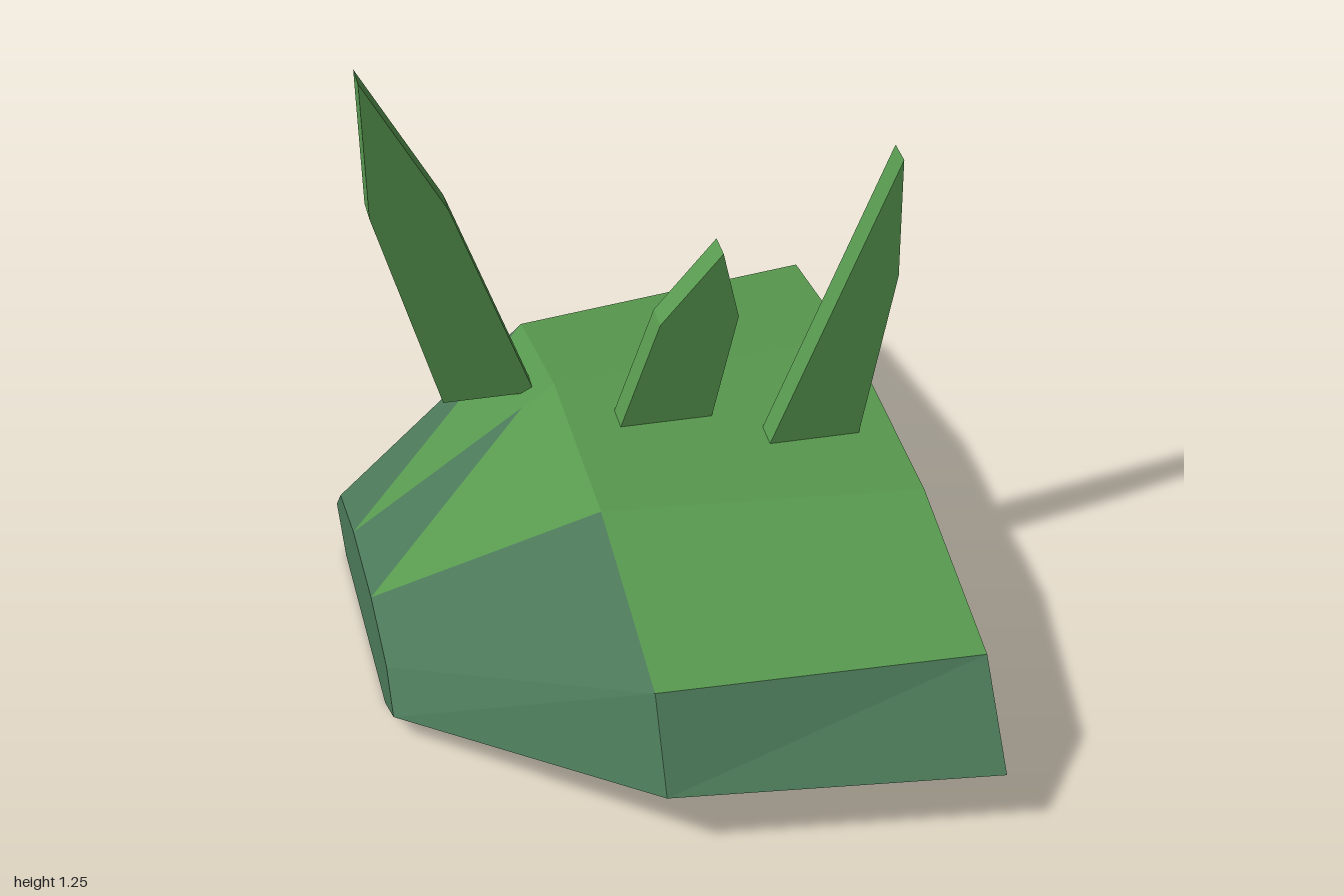
import * as THREE from 'three';

const leaf = new THREE.MeshStandardMaterial({ color: 0x58994f });
leaf.name = 'leaf green';
const stone = new THREE.MeshStandardMaterial({ color: 0x4b7858 });
stone.name = 'mossy teal';

// Flat-shaded mesh of convex polygons, each wound to face away from the body centre
function facets(name, polygons, material) {
  const center = new THREE.Vector3(0.1, 0.15, 0);
  const out = [];
  for (const poly of polygons) {
    const p = poly.map((v) => new THREE.Vector3(...v));
    for (let i = 1; i < p.length - 1; i++) {
      const [a, b, c] = [p[0], p[i], p[i + 1]];
      const n = b.clone().sub(a).cross(c.clone().sub(a));
      const tri = n.dot(a.clone().sub(center)) > 0 ? [a, b, c] : [a, c, b];
      tri.forEach((v) => out.push(v.x, v.y, v.z));
    }
  }
  const g = new THREE.BufferGeometry();
  g.setAttribute('position', new THREE.Float32BufferAttribute(out, 3));
  g.computeVertexNormals();
  const mesh = new THREE.Mesh(g, material);
  mesh.name = name;
  return mesh;
}

// Flat blade cut from an outline and given thickness
function blade(name, outline, z) {
  const shape = new THREE.Shape(outline.map(([x, y]) => new THREE.Vector2(x, y)));
  const g = new THREE.ExtrudeGeometry(shape, { depth: 0.07, bevelEnabled: false });
  g.translate(0, 0, z);
  const mesh = new THREE.Mesh(g, leaf);
  mesh.name = name;
  return mesh;
}

// Cross-section at x, from front bottom over the top to back bottom
function section(x, ys, zs) {
  return zs.map((z, i) => [x, ys[i < 4 ? i : 7 - i], z]);
}

export function createModel() {
  const group = new THREE.Group();
  group.name = 'plantedRock';

  const high = [0, 0.142, 0.333, 0.425];
  const tip = section(-0.62, [0, 0.06, 0.14, 0.18], [0.29, 0.42, 0.34, 0.13, -0.13, -0.34, -0.42, -0.29]);
  const mid = section(-0.11, high, [0.64, 0.92, 0.8, 0.25, -0.28, -0.695, -0.9, -0.64]);
  const end = section(0.62, high, [0.68, 1, 0.82, 0.32, -0.32, -0.82, -1, -0.68]);
  const quad = (a, b, i) => [a[i], b[i], b[(i + 1) % 8], a[(i + 1) % 8]];

  const teal = [];
  const green = [];

  // Sides, underside and sloping front panel
  for (const i of [0, 1, 5, 6, 7]) teal.push(quad(tip, mid, i), quad(mid, end, i));
  teal.push(quad(tip, mid, 2), tip);

  // Grassy top
  for (const i of [2, 3, 4]) green.push(quad(mid, end, i));

  // Bare patch in the grass near the narrow end
  const t = 0.84;
  const patch = tip[4].map((v, k) => v + (mid[4][k] - v) * t);
  teal.push([tip[4], patch, tip[3]]);
  green.push([tip[3], patch, mid[4], mid[3]]);

  // Back slope split along its diagonal
  green.push([tip[4], mid[4], mid[5]]);
  teal.push([tip[4], mid[5], tip[5]]);

  // Wide end, with grass hanging down to a point
  const hang = [0.62, 0.235, 0];
  green.push([hang, end[2], end[3], end[4], end[5]]);
  teal.push([hang, end[5], end[6], end[7], end[0], end[1], end[2]]);

  group.add(facets('rockBody', teal, stone), facets('grassCover', green, leaf));

  // Blades of grass
  group.add(
    blade('tallBlade', [[-0.367, 0.375], [-0.148, 0.375], [-0.34, 0.9], [-0.535, 1.25], [-0.523, 0.9]], -0.4),
    blade('shortBlade', [[0.003, 0.42], [0.22, 0.42], [0.281, 0.69], [0.243, 0.862], [0.097, 0.69]], -0.14),
    blade('sideBlade', [[0.323, 0.42], [0.535, 0.42], [0.614, 0.84], [0.614, 1.14]], 0)
  );
  return group;
}
